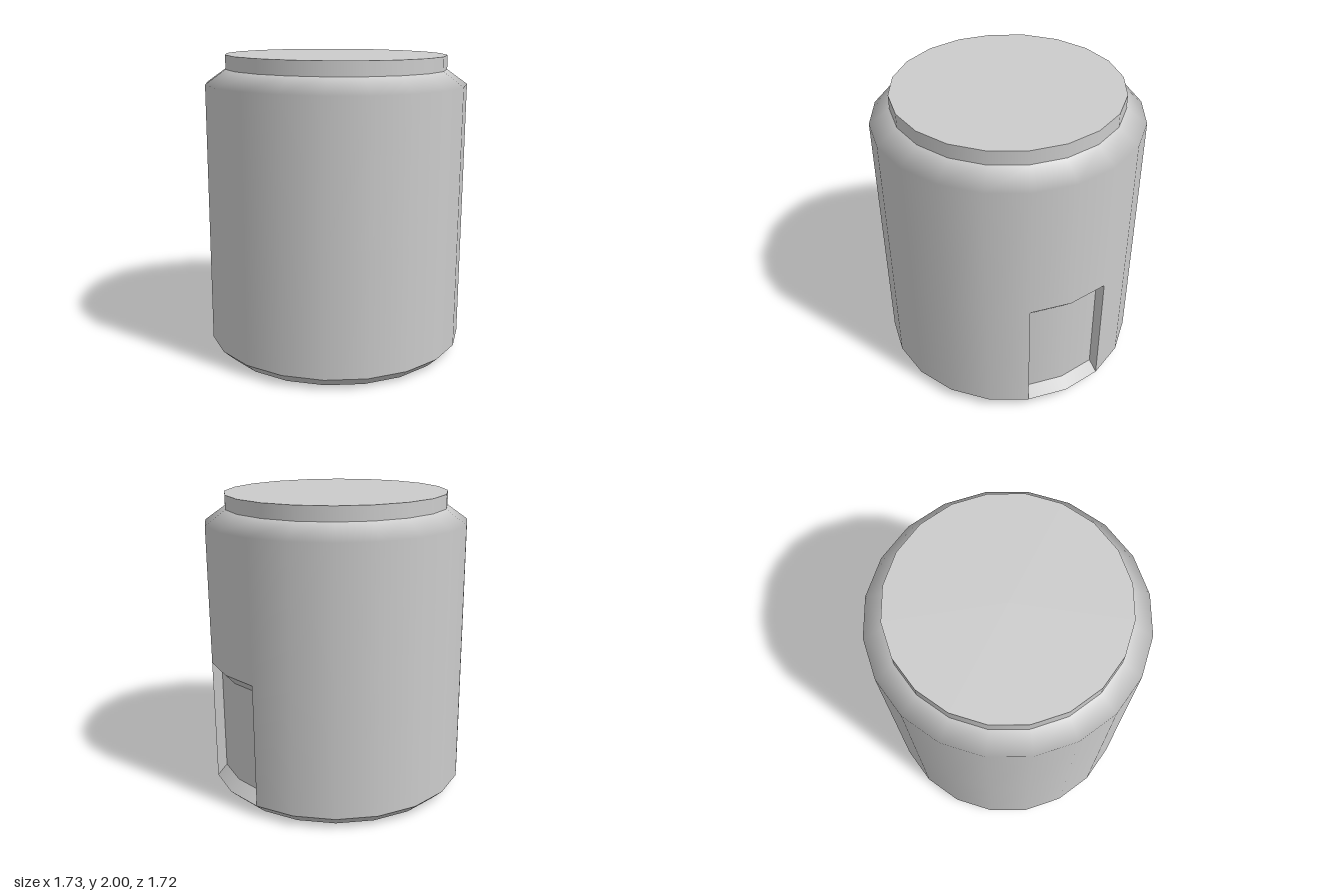
import * as THREE from 'three';
import { mergeGeometries } from 'three/addons/utils/BufferGeometryUtils.js';

const SIDES = 20;
const START = 4.6 * Math.PI / 180;
const R = 0.864;          // body radius
const NECK = 0.731;       // lid radius
const INNER = 0.8;        // recessed panel radius
const REC = [2, 4];       // recess spans these side numbers

// point on the ring at corner k
function at(k, r, y) {
  const a = START + k * 2 * Math.PI / SIDES;
  return [r * Math.cos(a), y, -r * Math.sin(a)];
}

// band of quads from a lower ring to an upper ring, smooth around the axis;
// n0 and n1 are optional [radial, up] normals
function band(r0, y0, r1, y1, from = 0, to = SIDES, n0, n1) {
  const slope = [y1 - y0, r0 - r1];
  n0 ??= slope;
  n1 ??= slope;
  const pos = [], nor = [], uv = [], idx = [];
  for (let k = from; k <= to; k++) {
    pos.push(...at(k, r0, y0), ...at(k, r1, y1));
    for (const n of [n0, n1]) {
      nor.push(...new THREE.Vector3(...at(k, n[0], n[1])).normalize().toArray());
    }
    uv.push(k / SIDES, y0, k / SIDES, y1);
    if (k < to) {
      const i = (k - from) * 2;
      idx.push(i, i + 2, i + 3, i, i + 3, i + 1);
    }
  }
  const g = new THREE.BufferGeometry();
  g.setAttribute('position', new THREE.Float32BufferAttribute(pos, 3));
  g.setAttribute('normal', new THREE.Float32BufferAttribute(nor, 3));
  g.setAttribute('uv', new THREE.Float32BufferAttribute(uv, 2));
  g.setIndex(idx);
  return g;
}

// flat side wall of the recess at corner k
function recessSide(k, flip) {
  const pos = [at(k, R, 0.078), at(k, INNER, 0.15), at(k, INNER, 0.83), at(k, R, 0.9)].flat();
  const g = new THREE.BufferGeometry();
  g.setAttribute('position', new THREE.Float32BufferAttribute(pos, 3));
  g.setIndex(flip ? [0, 2, 1, 0, 3, 2] : [0, 1, 2, 0, 2, 3]);
  g.computeVertexNormals();
  return g;
}

export function createModel() {
  const group = new THREE.Group();
  const material = new THREE.MeshStandardMaterial({ color: 0xcccccc, side: THREE.DoubleSide });
  const add = (name, geometry) => {
    const mesh = new THREE.Mesh(geometry, material);
    mesh.name = name;
    group.add(mesh);
  };

  // open-bottomed shell, with a gap in the lower wall for the recess
  add('bottomBevel', band(0.79, 0.008, R, 0.078));
  add('body', mergeGeometries([
    band(R, 0.078, R, 0.9, REC[1], REC[0] + SIDES),
    band(R, 0.9, R, 1.81),
    band(R, 1.81, NECK, 1.905, 0, SIDES, [1, 0], [0.095, 0.133]),
  ]));

  // recessed panel and its frame
  add('recessPanel', band(INNER, 0.15, INNER, 0.83, ...REC));
  add('recessTop', band(INNER, 0.83, R, 0.9, ...REC));
  add('recessSill', band(R, 0.078, INNER, 0.15, ...REC));
  add('recessSideA', recessSide(REC[0], false));
  add('recessSideB', recessSide(REC[1], true));

  // lid
  add('lidRim', band(NECK, 1.905, NECK, 1.997));
  add('lidTop', new THREE.CircleGeometry(NECK, SIDES, START).rotateX(-Math.PI / 2).translate(0, 1.997, 0));

  // the container leans very slightly
  group.rotation.z = -0.005;
  group.position.x = -0.006;
  return group;
}
